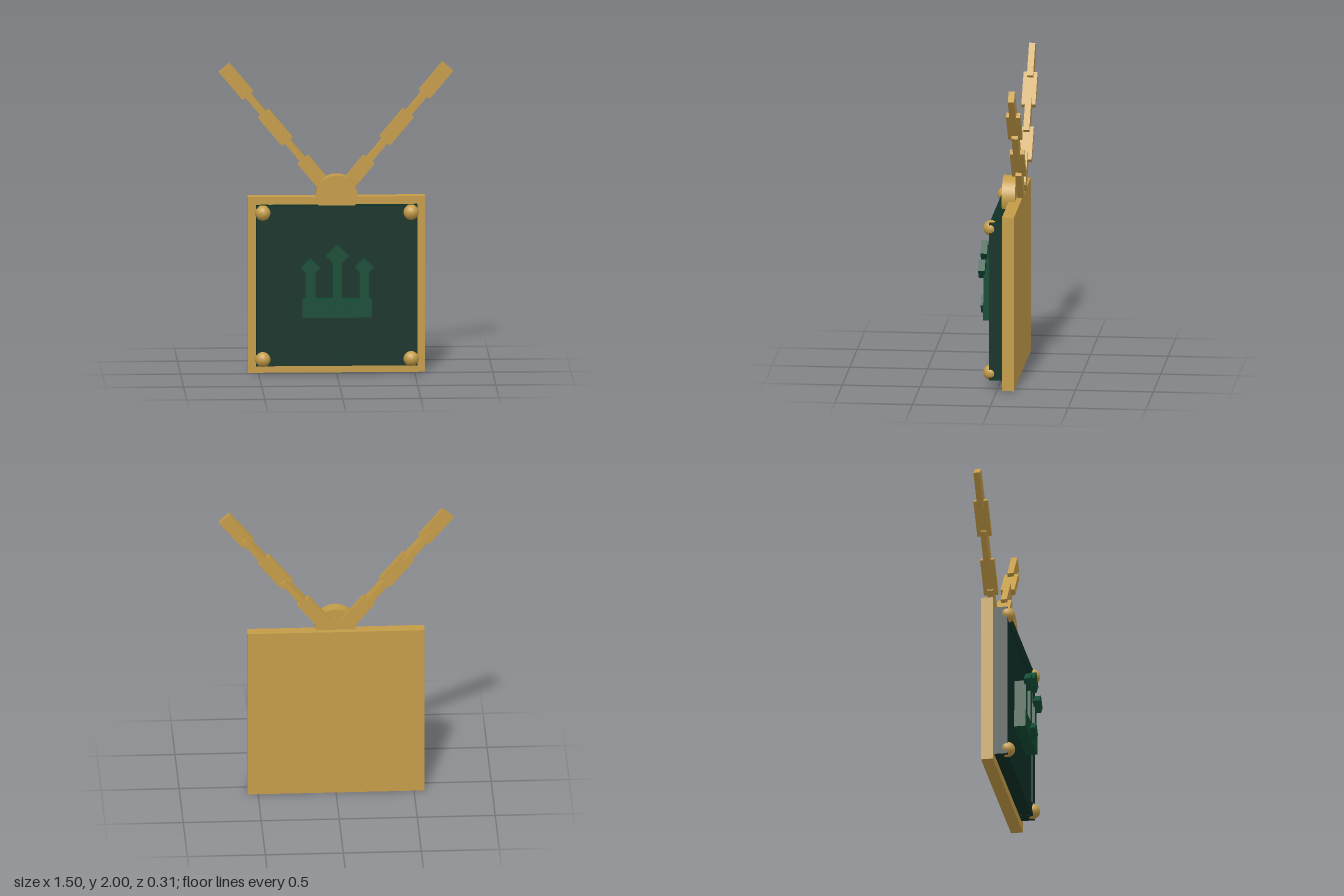
import * as THREE from 'three';

export function createModel() {
  const mat = (name, color) => {
    const m = new THREE.MeshStandardMaterial({ color });
    m.name = name;
    return m;
  };
  const gold = mat('gold', 0xc49c48);
  const darkGreen = mat('darkGreen', 0x0e3026);
  const green = mat('emblemGreen', 0x104a32);

  const model = new THREE.Group();
  model.name = 'pendant';
  const add = (parent, name, geometry, material, x, y, z) => {
    const mesh = new THREE.Mesh(geometry, material);
    mesh.name = name;
    mesh.position.set(x, y, z);
    parent.add(mesh);
    return mesh;
  };
  // Box given by its size in x and y, and its back and front z
  const slab = (parent, name, material, x, y, w, h, z0, z1) =>
    add(parent, name, new THREE.BoxGeometry(w, h, z1 - z0), material, x, y, (z0 + z1) / 2);
  const group = (name) => {
    const g = new THREE.Group();
    g.name = name;
    model.add(g);
    return g;
  };

  // Gold backing plate and green face panel
  slab(model, 'backPlate', gold, 0, 0.57, 1.136, 1.14, -0.11, -0.033);
  slab(model, 'facePanel', darkGreen, 0, 0.573, 1.02, 1.02, -0.034, 0.045);

  // Slightly raised border of four bars
  const border = group('border');
  for (const s of [-1, 1]) {
    slab(border, 'sideBar', darkGreen, s * 0.476, 0.573, 0.082, 1.035, -0.034, 0.054);
    slab(border, 'crossBar', darkGreen, 0, 0.573 + s * 0.475, 1.03, 0.084, -0.034, 0.052);
  }

  // Corner studs
  const studs = group('cornerStuds');
  const ball = new THREE.SphereGeometry(0.05, 16, 12);
  for (const x of [-0.475, 0.475])
    for (const y of [0.1, 1.05]) add(studs, 'stud', ball, gold, x, y, 0.046);

  // Round hanger at the top
  const disc = new THREE.CylinderGeometry(0.133, 0.133, 0.085, 32).rotateX(Math.PI / 2);
  add(model, 'hangerDisc', disc, gold, 0, 1.152, -0.032);

  // Three-pronged emblem with diamond tips
  const emblem = group('emblem');
  slab(emblem, 'emblemBase', green, 0, 0.437, 0.444, 0.116, 0.04, 0.121);
  const diamond = (x, y, r) => {
    const side = r * Math.SQRT2;
    slab(emblem, 'diamond', green, x, y, side, side, 0.11, 0.153).rotation.z = Math.PI / 4;
  };
  for (const [x, top, r] of [[-0.172, 0.708, 0.061], [0, 0.783, 0.073], [0.172, 0.708, 0.061]]) {
    slab(emblem, 'prong', green, x, (0.45 + top) / 2, 0.062, top - 0.45, 0.04, 0.119);
    diamond(x, top, r);
  }
  diamond(0, 0.438, 0.06);

  // Two chains of links, each turned a quarter from the last
  const link = new THREE.BoxGeometry(0.09, 0.235, 0.04);
  for (const s of [-1, 1]) {
    const chain = group(s > 0 ? 'leftChain' : 'rightChain');
    for (let i = 0; i < 5; i++) {
      const mesh = add(chain, 'link', link, gold, s * (0.136 + i * 0.126), 1.28 + i * 0.15, -0.108);
      mesh.rotation.set(0, i % 2 ? Math.PI / 2 : 0, -s * THREE.MathUtils.degToRad(40), 'ZYX');
    }
  }
  return model;
}
